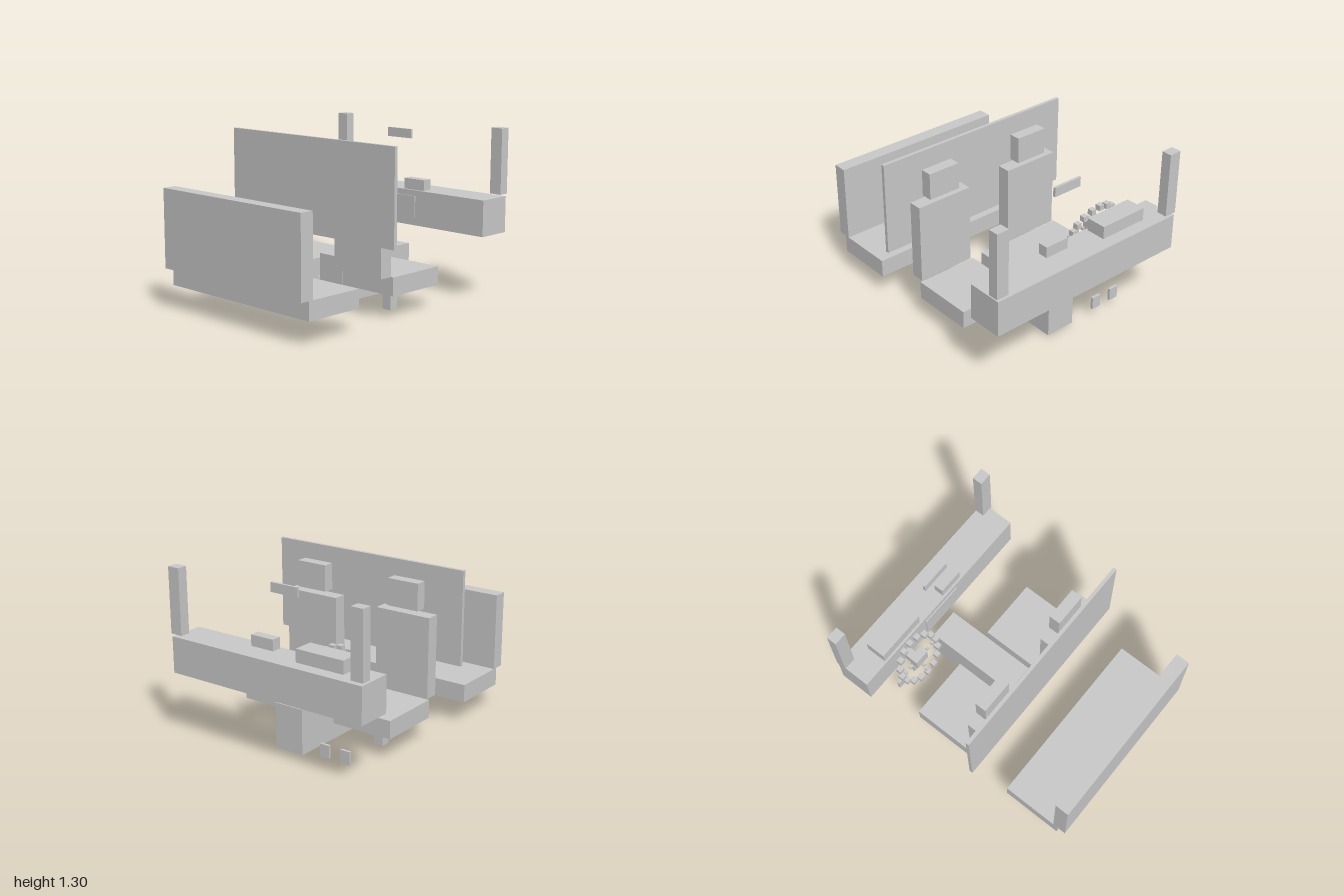
import * as THREE from 'three';

const grey = new THREE.MeshStandardMaterial({ color: 0xcacaca });
grey.name = 'light grey';

// Box given by its extents along each axis
function block(parent, name, [x0, x1], [y0, y1], [z0, z1]) {
  const mesh = new THREE.Mesh(new THREE.BoxGeometry(x1 - x0, y1 - y0, z1 - z0), grey);
  mesh.position.set((x0 + x1) / 2, (y0 + y1) / 2, (z0 + z1) / 2);
  mesh.name = name;
  parent.add(mesh);
}

const around = (c, w) => [c - w / 2, c + w / 2];

function group(parent, name) {
  const g = new THREE.Group();
  g.name = name;
  parent.add(g);
  return g;
}

// Front seat on a single post, with a floating headrest
function frontSeat(parent, name, x) {
  const seat = group(parent, name);
  block(seat, 'cushion', around(x, 0.49), [0.178, 0.315], [-0.432, 0.058]);
  block(seat, 'backrest', around(x, 0.453), [0.315, 0.925], [0.062, 0.166]);
  block(seat, 'headrest', around(x, 0.257), [0.957, 1.16], [0.061, 0.148]);
  block(seat, 'post', around(x, 0.077), [0, 0.178], [-0.222, -0.146]);
}

// Tilted ring of small cubes with three spokes
function steeringWheel(parent) {
  const wheel = group(parent, 'steeringWheel');
  const cx = -0.411, cy = 0.689, cz = -0.597;
  const radius = 0.187, tilt = 0.382;
  const cube = (name, r, a, size) => {
    const up = r * Math.sin(a);
    block(wheel, name,
      around(cx + r * Math.cos(a), size),
      around(cy + up * Math.cos(tilt), size),
      around(cz - up * Math.sin(tilt), size));
  };
  for (let i = 0; i < 16; i++) cube('rimSegment', radius, (i * Math.PI) / 8, 0.042);
  for (const a of [0, Math.PI, -Math.PI / 2]) {
    for (const r of [0.093, 0.149]) cube('spokeSegment', r, a, 0.022);
  }
  block(wheel, 'hub', around(cx, 0.118), [0.638, 0.743], [-0.632, -0.565]);
  block(wheel, 'steeringColumn', around(cx, 0.066), [0.561, 0.638], [-0.728, -0.62]);
}

export function createModel() {
  const model = new THREE.Group();
  model.name = 'cabinInterior';

  // Dashboard and what sits on it
  block(model, 'dashboard', [-0.828, 0.828], [0.512, 0.785], [-1, -0.728]);
  block(model, 'instrumentHood', [-0.61, -0.215], [0.785, 0.882], [-0.903, -0.746]);
  block(model, 'dashBox', [0.05, 0.245], [0.785, 0.868], [-0.823, -0.746]);
  block(model, 'dashPanel', [-0.177, 0.177], [0.572, 0.74], [-0.734, -0.719]);
  block(model, 'mirror', [-0.117, 0.117], [1.18, 1.25], [-0.756, -0.736]);
  steeringWheel(model);

  // Windscreen pillars
  for (const s of [-1, 1]) {
    block(model, s > 0 ? 'leftPillar' : 'rightPillar', around(s * 0.788, 0.097), [0.805, 1.297], [-1, -0.922]);
  }

  // Pedals
  for (const x of [-0.51, -0.335]) {
    block(model, 'pedal', around(x, 0.078), [0.073, 0.17], [-0.756, -0.736]);
  }

  // Centre console and front seats
  block(model, 'console', [-0.118, 0.118], [0.022, 0.365], [-0.728, 0.01]);
  frontSeat(model, 'leftSeat', 0.411);
  frontSeat(model, 'rightSeat', -0.411);

  // Partition and rear bench
  block(model, 'partition', [-0.818, 0.818], [0.56, 1.266], [0.208, 0.235]);
  const bench = group(model, 'rearBench');
  block(bench, 'cushion', [-0.706, 0.706], [0.178, 0.315], [0.461, 0.93]);
  block(bench, 'backrest', [-0.706, 0.706], [0.315, 0.904], [0.893, 1]);

  return model;
}
